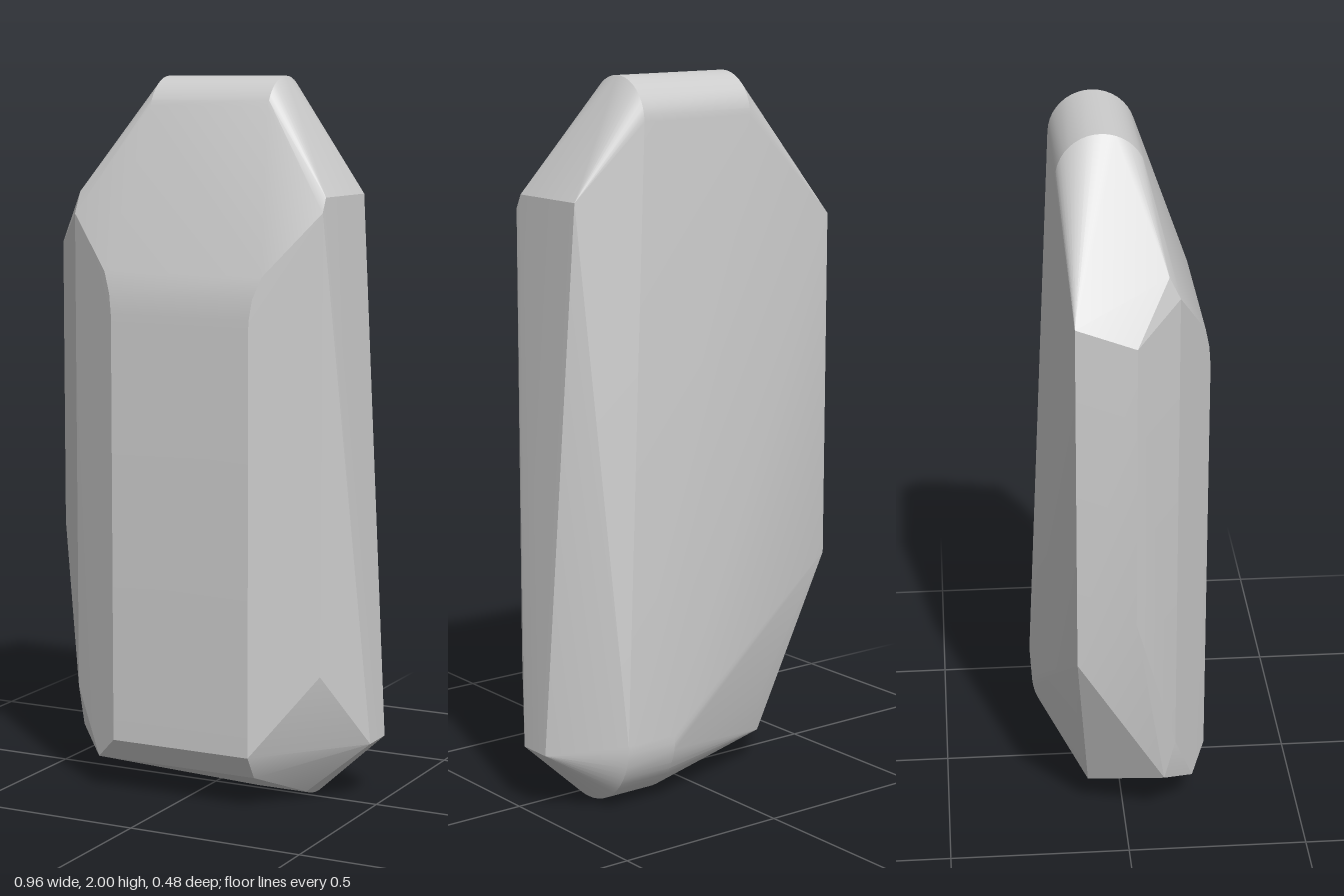
import * as THREE from 'three';
import { ConvexGeometry } from 'three/addons/geometries/ConvexGeometry.js';
import { toCreasedNormals } from 'three/addons/utils/BufferGeometryUtils.js';

// Rounded edge: the same arc in the z-y plane at both ends of an x span
function roundedEdge(x0, x1, z, y, radius, from, to, steps = 18) {
  const points = [];
  for (let i = 0; i <= steps; i++) {
    const a = THREE.MathUtils.degToRad(from + ((to - from) * i) / steps);
    for (const x of [x0, x1]) {
      points.push(new THREE.Vector3(x, y + radius * Math.sin(a), z + radius * Math.cos(a)));
    }
  }
  return points;
}

// Straight edge shared by two x positions
const pair = (x0, x1, y, z) => [new THREE.Vector3(x0, y, z), new THREE.Vector3(x1, y, z)];
const corner = (x, y, z) => [new THREE.Vector3(x, y, z)];

export function createModel() {
  const points = [
    // rounded top ridge and rounded foot
    ...roundedEdge(-0.17, 0.19, -0.05, 1.88, 0.12, 18, 178),
    ...roundedEdge(0.14, 0.3, -0.05, 0.19, 0.19, 178, 295),
    // flat front face, bending back towards the top
    ...pair(-0.2, 0.22, 0.155, 0.24),
    ...pair(-0.2, 0.22, 1.35, 0.24),
    ...pair(-0.208, 0.228, 1.41, 0.235),
    ...pair(-0.23, 0.25, 1.47, 0.222),
    // front bottom bevel
    ...pair(-0.27, 0.22, 0.09, 0.2),
    ...corner(-0.27, 0.09, -0.1),
    // left flank, splaying out towards the foot
    ...corner(0.39, 0.38, 0.14),
    ...corner(0.39, 1.64, 0.14),
    ...corner(0.39, 1.68, 0.12),
    ...corner(0.39, 1.68, -0.13),
    ...corner(0.48, 0.17, 0),
    ...corner(0.48, 0.17, -0.1),
    // right flank with bevelled front corner
    ...corner(-0.37, 0.27, 0.14),
    ...corner(-0.37, 0.15, 0.11),
    ...corner(-0.37, 1.62, 0.14),
    ...corner(-0.37, 1.68, 0.11),
    ...corner(-0.48, 0.72, 0.02),
    ...corner(-0.48, 1.53, 0.02),
    ...corner(-0.48, 0.6, -0.14),
    ...corner(-0.48, 1.59, -0.14),
    ...corner(-0.25, 0.2, -0.13),
  ];

  const geometry = toCreasedNormals(new ConvexGeometry(points), THREE.MathUtils.degToRad(14));
  const stone = new THREE.Mesh(geometry, new THREE.MeshStandardMaterial({ color: 0xcccccc }));
  stone.name = 'bevelledStoneSlab';

  const group = new THREE.Group();
  group.name = 'standingStone';
  group.add(stone);
  return group;
}
